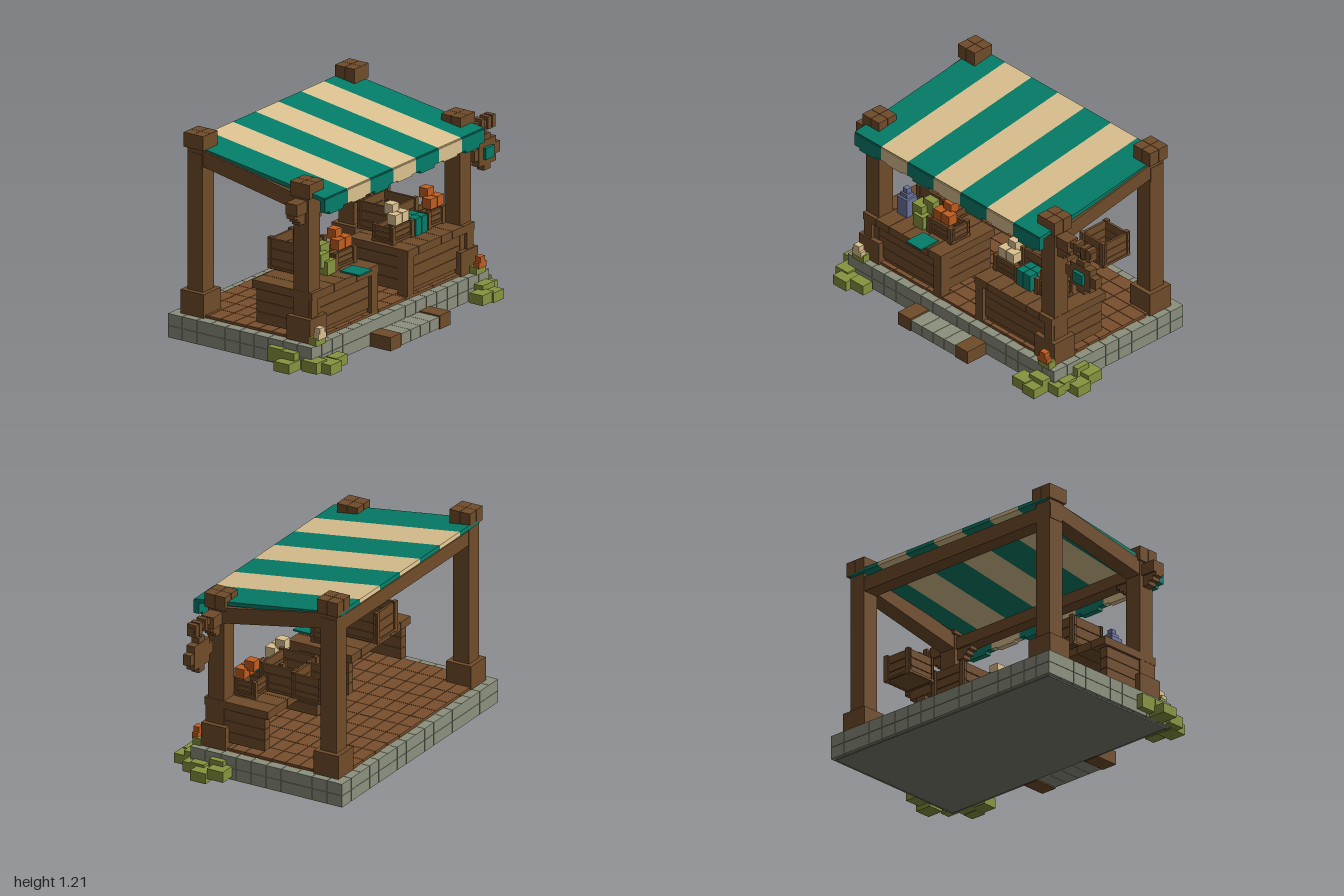
import * as THREE from 'three';

const CX = -0.06; // centre of the stall along x
const mat = (name, color) => {
  const m = new THREE.MeshStandardMaterial({ color });
  m.name = name;
  return m;
};

export function createModel() {
  const wood = mat('wood', 0x704c2a);
  const floorWood = mat('floor wood', 0x784f2d);
  const stone = mat('stone', 0x8c907e);
  const base = mat('base stone', 0x7a7b70);
  const teal = mat('teal cloth', 0x047d69);
  const cream = mat('cream cloth', 0xdcc290);
  const orange = mat('orange fruit', 0xc25e20);
  const leaf = mat('leaf green', 0x87943f);
  const violet = mat('violet jar', 0x6c75a0);

  const model = new THREE.Group();
  model.name = 'marketStall';
  const group = (name, parent = model) => {
    const g = new THREE.Group();
    g.name = name;
    parent.add(g);
    return g;
  };
  // Box given by its min and max along each axis
  const box = (name, m, x0, x1, y0, y1, z0, z1, parent = model) => {
    const mesh = new THREE.Mesh(new THREE.BoxGeometry(x1 - x0, y1 - y0, z1 - z0), m);
    mesh.position.set((x0 + x1) / 2, (y0 + y1) / 2, (z0 + z1) / 2);
    mesh.name = name;
    parent.add(mesh);
    return mesh;
  };
  // Bar sloping in z between two centre points
  const slope = (name, m, x, w, h, za, ya, zb, yb, parent) => {
    const mesh = new THREE.Mesh(new THREE.BoxGeometry(w, h, Math.hypot(zb - za, yb - ya)), m);
    mesh.position.set(x, (ya + yb) / 2, (za + zb) / 2);
    mesh.rotation.x = -Math.atan2(yb - ya, zb - za);
    mesh.name = name;
    parent.add(mesh);
  };

  // Platform: underside, core and two courses of edge stones
  box('underside', base, -0.87, 0.75, 0.003, 0.02, -0.545, 0.4);
  box('core', floorWood, -0.84, 0.72, 0.02, 0.15, -0.515, 0.37);
  const edging = group('stoneEdging');
  const x0 = -0.89, x1 = 0.77, z0 = -0.565, z1 = 0.42, g = 0.0015;
  for (let row = 0; row < 2; row++) {
    const ya = 0.01 + row * 0.071, yb = ya + 0.069;
    const nx = 17, sx = (x1 - x0) / nx, nz = 10, sz = (z1 - z0) / nz;
    for (let i = 0; i < nx; i++) {
      const a = x0 + i * sx;
      box('stone', stone, a + g, a + sx - g, ya, yb, z1 - 0.06, z1, edging);
      box('stone', stone, a + g, a + sx - g, ya, yb, z0, z0 + 0.06, edging);
    }
    for (let i = 0; i < nz; i++) {
      const a = z0 + i * sz;
      box('stone', stone, x0, x0 + 0.06, ya, yb, a + g, a + sz - g, edging);
      box('stone', stone, x1 - 0.06, x1, ya, yb, a + g, a + sz - g, edging);
    }
  }
  // Floor laid in a grid of short boards
  const floor = group('floor');
  for (let i = 0; i < 10; i++) for (let j = 0; j < 12; j++) {
    const a = -0.51 + i * 0.0875, b = -0.83 + j * 0.1283;
    box('board', floorWood, b + g, b + 0.1283 - g, 0.14, 0.165, a + g, a + 0.0875 - g, floor);
  }
  // Front step
  const step = group('frontStep');
  box('stepEnd', wood, -0.34, -0.24, 0.005, 0.085, 0.41, 0.56, step);
  box('stepEnd', wood, 0.12, 0.22, 0.005, 0.085, 0.41, 0.56, step);
  for (let i = 0; i < 4; i++) {
    const a = -0.235 + i * 0.0885;
    box('stepStone', stone, a, a + 0.0865, 0.01, 0.078, 0.41, 0.557, step);
  }

  // Posts with plinths, block caps and sloping rafters
  const frame = group('frame');
  for (const s of [-1, 1]) {
    const x = CX + s * 0.705;
    for (const [z, top] of [[0.297, 0.99], [-0.433, 1.125]]) {
      box('post', wood, x - 0.052, x + 0.052, 0.15, top, z - 0.052, z + 0.052, frame);
      box('plinth', wood, x - 0.08, x + 0.08, 0.15, 0.29, z - 0.08, z + 0.08, frame);
      for (const i of [-1, 1]) for (const j of [-1, 1]) {
        const cx = x + i * 0.034, cz = z + j * 0.034;
        box('capBlock', wood, cx - 0.033, cx + 0.033, top, top + 0.085, cz - 0.033, cz + 0.033, frame);
      }
    }
    slope('rafter', wood, x, 0.1, 0.092, 0.297, 0.946, -0.433, 1.083, frame);
    // Stepped bracket under the front beam
    for (let i = 0; i < 3; i++) {
      const w = 0.15 - i * 0.025;
      box('bracket', wood, x - w, x + w, 0.885 - i * 0.022, 0.907 - i * 0.022, 0.27, 0.325, frame);
    }
  }
  box('frontBeam', wood, -0.91, 0.79, 0.905, 0.975, 0.258, 0.338, frame);
  box('backBeam', wood, -0.82, 0.7, 1.01, 1.098, -0.482, -0.385, frame);

  // Striped awning with a tabbed valance
  const awning = group('awning');
  const roofY = z => 1.06 - 0.145 * z;
  const sw = 0.2125;
  for (let i = 0; i < 7; i++) {
    const m = i % 2 ? cream : teal, a = CX - 3.5 * sw + i * sw, c = a + sw / 2;
    slope('stripe', m, c, sw, 0.024, 0.445, roofY(0.445), -0.5, roofY(-0.5), awning);
    box('valance', m, a, a + sw, 0.922, 1.0, 0.417, 0.452, awning);
    box('valanceTab', m, c - 0.065, c + 0.065, i % 2 ? 0.913 : 0.905, 0.922, 0.417, 0.452, awning);
  }

  // Counters: plank front and sides, open behind
  const counter = (name, a, b) => {
    const c = group(name);
    for (let i = 0; i < 3; i++) {
      const y = 0.19 + i * 0.066;
      box('frontPlank', wood, a + 0.03, b - 0.03, y, y + 0.063, 0.3, 0.345, c);
      for (const x of [a + 0.01, b - 0.06]) box('sidePlank', wood, x, x + 0.05, y, y + 0.063, -0.015, 0.31, c);
    }
    box('backing', wood, a + 0.04, b - 0.04, 0.165, 0.395, 0.305, 0.335, c);
    for (const x of [a + 0.005, b - 0.065]) box('leg', wood, x, x + 0.06, 0.165, 0.39, 0.3, 0.368, c);
    const n = 6, w = (b - a) / n;
    for (let i = 0; i < n; i++) box('topBoard', wood, a + i * w + g, a + (i + 1) * w - g, 0.39, 0.437, -0.04, 0.372, c);
  };
  counter('rightCounter', -0.82, -0.19);
  counter('leftCounter', 0.075, 0.7);

  // Slatted crate, open at the top
  const crate = (name, x, y, z, w, h, d, slats) => {
    const c = group(name);
    c.position.set(x, y, z);
    const t = 0.014, s = h / slats;
    box('bottom', wood, -w / 2, w / 2, 0.006, 0.02, -d / 2, d / 2, c);
    for (const k of [-1, 1]) {
      for (let i = 0; i < slats; i++) {
        const ya = i * s + 0.003, yb = (i + 1) * s - 0.001;
        const zc = k * (d / 2 - t), xc = k * (w / 2 - t);
        box('slat', wood, -w / 2, w / 2, ya, yb, zc - t / 2, zc + t / 2, c);
        box('slat', wood, xc - t / 2, xc + t / 2, ya, yb, -d / 2 + t, d / 2 - t, c);
      }
      for (const j of [-1, 1]) {
        const px = k * (w / 2 - 0.02), pz = j * (d / 2 - 0.009);
        box('cornerPost', wood, px - 0.014, px + 0.014, 0, h + 0.006, pz - 0.012, pz + 0.012, c);
      }
    }
  };
  crate('rightLargeCrate', -0.505, 0.437, 0.04, 0.23, 0.18, 0.24, 3);
  crate('rightSmallCrate', -0.335, 0.437, 0.18, 0.21, 0.095, 0.14, 3);
  crate('leftLargeCrate', 0.34, 0.437, 0.04, 0.25, 0.165, 0.24, 3);
  crate('leftSmallCrate', 0.2, 0.437, 0.18, 0.21, 0.095, 0.14, 3);
  crate('leftEndCrate', 0.51, 0.437, 0.18, 0.17, 0.095, 0.14, 3);
  crate('backCrate', 0.495, 0.503, -0.227, 0.2, 0.152, 0.2, 3);

  // Goods: small cubes given by centre and size
  const cubes = (name, m, list) => {
    const c = group(name);
    for (const [x, y, z, s] of list) box('piece', m, x - s / 2, x + s / 2, y - s / 2, y + s / 2, z - s / 2, z + s / 2, c);
  };
  const pile = (name, m, x, z) => {
    cubes(name, m, [[x - 0.033, 0.572, z, 0.06], [x + 0.033, 0.572, z, 0.06], [x, 0.617, z - 0.045, 0.06]]);
  };
  pile('rightOrangeFruit', orange, -0.328, 0.21);
  pile('leftOrangeFruit', orange, 0.53, 0.21);
  pile('creamLoaves', cream, 0.197, 0.215);
  cubes('greenProduce', leaf, [[-0.47, 0.56, 0.165, 0.08], [-0.52, 0.525, 0.205, 0.08], [-0.49, 0.48, 0.225, 0.08]]);
  const bundle = [];
  for (const x of [0.327, 0.383]) for (const y of [0.465, 0.512]) for (const z of [0.18, 0.235]) bundle.push([x, y, z, 0.053]);
  cubes('tealBundle', teal, bundle);
  box('foldedCloth', teal, -0.43, -0.31, 0.437, 0.446, 0.28, 0.412);
  const jar = group('jar');
  box('jarBody', violet, -0.685, -0.605, 0.437, 0.55, 0.16, 0.24, jar);
  box('jarShoulder', violet, -0.672, -0.618, 0.55, 0.575, 0.173, 0.227, jar);
  box('jarLid', violet, -0.662, -0.628, 0.575, 0.605, 0.183, 0.217, jar);

  // Hanging sign on an arm
  const sign = group('hangingSign');
  box('arm', wood, 0.78, 0.96, 0.935, 0.97, 0.28, 0.318, sign);
  for (const x of [0.825, 0.885, 0.925]) box('armBand', wood, x, x + 0.03, 0.915, 0.988, 0.27, 0.328, sign);
  box('hanger', wood, 0.865, 0.89, 0.885, 0.935, 0.285, 0.313, sign);
  box('boardWide', wood, 0.76, 1.0, 0.755, 0.82, 0.278, 0.325, sign);
  box('boardMiddle', wood, 0.8, 0.96, 0.715, 0.86, 0.276, 0.328, sign);
  box('boardTall', wood, 0.85, 0.91, 0.682, 0.892, 0.278, 0.325, sign);
  box('boardInset', teal, 0.84, 0.918, 0.752, 0.82, 0.32, 0.348, sign);

  // Corner bushes: centre x and z, half sizes in x and z, bottom, top
  const bushes = group('bushes');
  const leaves = [
    [-0.885, 0.195, 0.046, 0.05, 0.03, 0.115], [-0.945, 0.295, 0.055, 0.052, 0.01, 0.067], [-0.89, 0.29, 0.045, 0.045, 0.03, 0.11],
    [-0.875, 0.43, 0.048, 0.052, 0.015, 0.08], [-0.825, 0.49, 0.053, 0.055, 0.01, 0.07], [-0.725, 0.475, 0.053, 0.035, 0.015, 0.075],
    [0.82, 0.2, 0.048, 0.052, 0.03, 0.093], [0.835, 0.3, 0.052, 0.05, 0.005, 0.067], [0.775, 0.345, 0.046, 0.045, 0.03, 0.083],
    [0.76, 0.232, 0.045, 0.045, 0.03, 0.122], [0.775, 0.41, 0.045, 0.03, 0.015, 0.075],
    [0.685, 0.43, 0.055, 0.05, 0.015, 0.1], [0.605, 0.49, 0.052, 0.045, 0.015, 0.075], [0.69, 0.51, 0.047, 0.035, 0.01, 0.068],
  ];
  for (const [x, z, rx, rz, ya, yb] of leaves) box('leafBlock', leaf, x - rx, x + rx, ya, yb, z - rz, z + rz, bushes);

  // Blossoms beside the front posts
  for (const [x, m] of [[-0.805, cream], [0.69, orange]]) {
    box('blossomLeaf', leaf, x - 0.045, x + 0.045, 0.145, 0.192, 0.375, 0.425, bushes);
    box('blossom', m, x - 0.037, x + 0.037, 0.182, 0.216, 0.398, 0.435, bushes);
    box('blossomTop', m, x - 0.022, x + 0.022, 0.216, 0.248, 0.398, 0.435, bushes);
  }
  return model;
}
